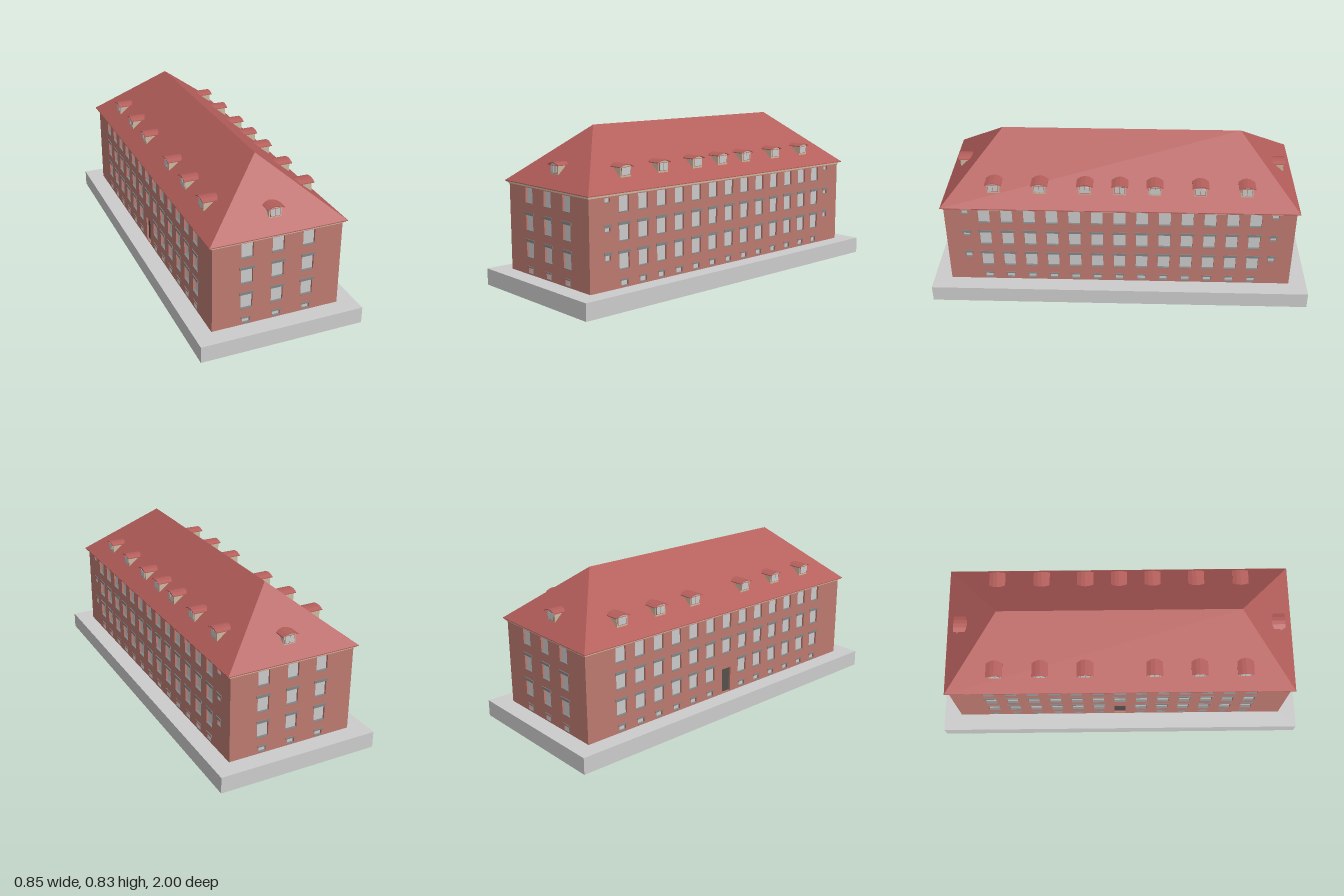
import * as THREE from 'three';

const mat = (name, color, side = THREE.FrontSide) => {
  const m = new THREE.MeshStandardMaterial({ color, side });
  m.name = name;
  return m;
};

export function createModel() {
  const root = new THREE.Group();
  root.name = 'building';
  const M = {
    stone: mat('pale stone', 0xcccccc),
    wall: mat('red plaster', 0xbd7a70),
    roof: mat('roof tile', 0xb45e5b),
    beige: mat('beige trim', 0xcbb9a0),
    glass: mat('pale glass', 0xcacaca),
    grey: mat('grey trim', 0x858585),
    under: mat('dark foundation', 0x7c7c7c),
    door: mat('dark door', 0x55504c),
  };
  const add = (parent, name, geo, material, x = 0, y = 0, z = 0) => {
    const m = new THREE.Mesh(geo, material);
    m.name = name;
    m.position.set(x, y, z);
    parent.add(m);
    return m;
  };
  const box = (parent, name, material, w, h, d, x, y, z) =>
    add(parent, name, new THREE.BoxGeometry(w, h, d), material, x, y, z);
  const rect = (P, x0, y0, x1, y1) => {
    const p = new P();
    p.moveTo(x0, y0); p.lineTo(x1, y0); p.lineTo(x1, y1); p.lineTo(x0, y1); p.closePath();
    return p;
  };
  const extrude = (shape, depth) => new THREE.ExtrudeGeometry(shape, { depth, bevelEnabled: false });

  // Terrace: a block with an opening underneath for the cellar
  const H = 0.086;
  const terrace = rect(THREE.Shape, -0.425, -1, 0.425, 1);
  terrace.holes.push(rect(THREE.Path, -0.335, -0.907, 0.335, 0.907));
  add(root, 'terrace', extrude(terrace, H).rotateX(-Math.PI / 2), M.stone);

  // Cellar slab with shallow rooms along a central corridor
  const slab = rect(THREE.Shape, -0.335, -0.907, 0.335, 0.907);
  const rooms = [-0.86, -0.66, -0.4, -0.17, -0.05, 0.05, 0.17, 0.4, 0.66, 0.86];
  for (let i = 0; i < rooms.length - 1; i++) {
    for (const [x0, x1] of [[-0.3, -0.06], [0.06, 0.16], [0.18, 0.3]]) {
      slab.holes.push(rect(THREE.Path, x0, rooms[i] + 0.015, x1, rooms[i + 1] - 0.015));
    }
  }
  slab.holes.push(rect(THREE.Path, -0.035, -0.86, 0.035, 0.86));
  add(root, 'cellarWalls', extrude(slab, 0.015).rotateX(-Math.PI / 2), M.under, 0, 0.012, 0);
  box(root, 'cellarCeiling', M.under, 0.67, 0.02, 1.814, 0, 0.036, 0);

  // One facade, built facing +z, with recessed openings [x, y0, y1, width, kind]
  const facade = (name, length, openings, x, z, turn) => {
    const g = new THREE.Group();
    g.name = name;
    g.position.set(x, 0, z);
    g.rotation.y = turn;
    const shape = rect(THREE.Shape, -length / 2, 0.06, length / 2, 0.54);
    for (const [cx, y0, y1, w, kind] of openings) {
      const h = y1 - y0, cy = (y0 + y1) / 2;
      shape.holes.push(rect(THREE.Path, cx - w / 2, y0, cx + w / 2, y1));
      const isDoor = kind === 'door';
      box(g, isDoor ? 'door' : 'windowPane', isDoor ? M.door : M.glass, w, h, 0.004, cx, cy, -0.013);
      if (kind === 'lintel' || kind === 'cellar') {
        const lh = kind === 'cellar' ? 0.008 : 0.014;
        box(g, 'lintel', M.grey, w + 0.014, lh, 0.005, cx, y1 + lh / 2, 0.001);
      }
      if (!isDoor) box(g, 'sill', M.grey, w, 0.003, 0.016, cx, y0 + 0.0005, -0.006);
    }
    add(g, 'wall', extrude(shape, 0.02), M.wall, 0, 0, -0.02);
    root.add(g);
  };

  const FLOORS = [[0.175, 0.253, 'lintel'], [0.312, 0.39, 'lintel'], [0.45, 0.528, 'plain']];
  const column = (cx, withDoor = false) => {
    const list = FLOORS.map(([a, b, kind]) => [cx, a, b, 0.061, kind]);
    if (withDoor) list[0] = [cx, 0.09, 0.225, 0.061, 'door'];
    else list.push([cx, 0.093, 0.121, 0.04, 'cellar']);
    return list;
  };
  const ends = [-0.158, 0, 0.158].flatMap((x) => column(x));
  const cols = Array.from({ length: 13 }, (_, i) => (i - 6) * 0.117);
  const leftSide = cols.flatMap((x) => column(x));
  for (const s of [-0.8, 0.8]) {
    leftSide.push([s, 0.226, 0.255, 0.032, 'lintel'], [s, 0.364, 0.386, 0.032, 'lintel'], [s, 0.503, 0.526, 0.032, 'plain']);
  }
  const rightSide = cols.flatMap((x) => column(x, Math.abs(x) < 0.01));
  facade('frontFacade', 0.666, ends, 0, 0.907, 0);
  facade('backFacade', 0.666, ends, 0, -0.907, Math.PI);
  facade('leftFacade', 1.774, leftSide, 0.333, 0, Math.PI / 2);
  facade('rightFacade', 1.774, rightSide, -0.333, 0, -Math.PI / 2);

  // Stepped cornice under the eaves
  box(root, 'corniceLower', M.beige, 0.676, 0.006, 1.824, 0, 0.536, 0);
  box(root, 'corniceUpper', M.beige, 0.69, 0.006, 1.836, 0, 0.542, 0);

  // Hipped roof
  box(root, 'eaves', M.roof, 0.704, 0.004, 1.844, 0, 0.546, 0);
  const X = 0.352, Z = 0.922, Y = 0.547;
  const a = [-X, Y, Z], b = [X, Y, Z], c = [X, Y, -Z], d = [-X, Y, -Z];
  const f = [0, 0.833, 0.625], k = [0, 0.833, -0.625];
  const tris = [a, b, f, b, c, k, b, k, f, c, d, k, d, a, f, d, f, k];
  const roof = new THREE.BufferGeometry();
  roof.setAttribute('position', new THREE.Float32BufferAttribute(tris.flat(), 3));
  roof.computeVertexNormals();
  add(root, 'hippedRoof', roof, M.roof);

  // Dormer, built facing +z with its front at z = 0
  const hood = new THREE.Shape();
  const arch = [[-0.043, 0.655], [-0.021, 0.664], [0, 0.667], [0.021, 0.664], [0.043, 0.655]];
  arch.forEach(([x, y], i) => (i ? hood.lineTo(x, y) : hood.moveTo(x, y)));
  [...arch].reverse().forEach(([x, y]) => hood.lineTo(x, y - 0.004));
  const hoodGeo = extrude(hood, 0.088);
  const body = new THREE.Shape();
  body.moveTo(-0.032, 0.602);
  body.lineTo(0.032, 0.602);
  body.lineTo(0.032, 0.656);
  body.lineTo(0, 0.664);
  body.lineTo(-0.032, 0.656);
  const bodyGeo = extrude(body, 0.07);
  const dormer = (x, z, turn) => {
    const g = new THREE.Group();
    g.name = 'dormer';
    g.position.set(x, 0, z);
    g.rotation.y = turn;
    add(g, 'dormerBody', bodyGeo, M.beige, 0, 0, -0.07);
    add(g, 'dormerHood', hoodGeo, M.roof, 0, 0, -0.079);
    box(g, 'dormerFrame', M.roof, 0.053, 0.04, 0.003, 0, 0.632, 0.0005);
    for (const s of [-1, 1]) box(g, 'dormerPane', M.glass, 0.0235, 0.036, 0.003, s * 0.0127, 0.632, 0.0015);
    root.add(g);
  };
  for (const z of [-0.65, -0.413, -0.18, 0, 0.18, 0.413, 0.65]) {
    dormer(0.283, z, Math.PI / 2);
    if (z !== 0) dormer(-0.283, z, -Math.PI / 2);
  }
  dormer(0, 0.861, 0);
  dormer(0, -0.861, Math.PI);

  return root;
}
